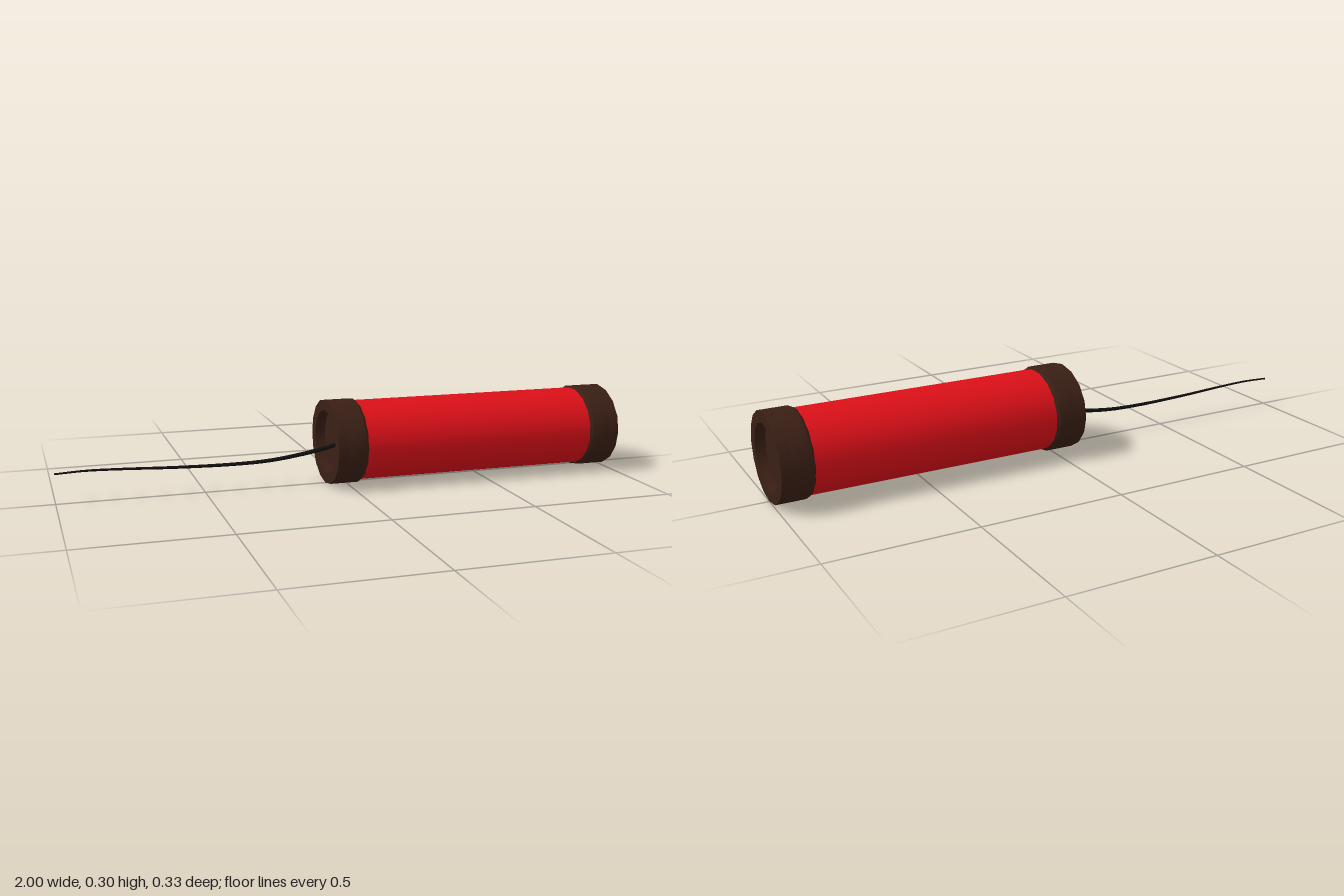
import * as THREE from 'three';
import { toCreasedNormals } from 'three/addons/utils/BufferGeometryUtils.js';

const RY = 0.149, RZ = 0.166; // slightly flattened round section
const CAP = 0.11, RECESS = 0.035, SIDES = 16;

const red = new THREE.MeshStandardMaterial({ color: 0xdc1018 });
const brown = new THREE.MeshStandardMaterial({ color: 0x3a1f15 });
const black = new THREE.MeshStandardMaterial({ color: 0x111111 });

function mesh(name, geometry, material) {
  const m = new THREE.Mesh(geometry, material);
  m.name = name;
  return m;
}

function polygon(radius, turn) {
  return Array.from({ length: SIDES }, (_, i) => {
    const a = ((i + turn) / SIDES) * Math.PI * 2;
    return new THREE.Vector2(radius * Math.cos(a), radius * Math.sin(a));
  });
}

// End cap: outer face at z = 0 looking along +z, body side at z = -CAP
function createCap(name) {
  const cap = new THREE.Group();
  cap.name = name;

  // Raised rim around the recess
  const ring = new THREE.Shape(polygon(1, 0));
  ring.holes.push(new THREE.Path(polygon(0.745, 0.5)));
  const rim = new THREE.ExtrudeGeometry(ring, { depth: RECESS, bevelEnabled: false });
  rim.translate(0, 0, -RECESS).scale(RZ, RY, 1);
  cap.add(mesh('capRim', toCreasedNormals(rim, 0.5), brown));

  // Collar with a chamfer towards the body and the recessed end disc
  const profile = [[0.88, -CAP], [0.95, -CAP], [1, -CAP + 0.01], [1, -RECESS], [0, -RECESS]];
  const collar = new THREE.LatheGeometry(profile.map(([r, y]) => new THREE.Vector2(r, y)), SIDES);
  collar.rotateX(Math.PI / 2).scale(RZ, RY, 1);
  cap.add(mesh('capCollar', toCreasedNormals(collar, 0.5), brown));
  return cap;
}

// Tapered fuse sagging away from the end of the tube
function createFuse() {
  const path = new THREE.CatmullRomCurve3([
    [-0.03, 0.136], [-0.07, 0.126], [-0.15, 0.111], [-0.27, 0.096], [-0.4, 0.092],
    [-0.6, 0.096], [-0.78, 0.104], [-0.9, 0.107], [-1, 0.103],
  ].map(([x, y]) => new THREE.Vector3(x, y, 0)));
  const steps = 32, sides = 8;
  const geometry = new THREE.TubeGeometry(path, steps, 0.008, sides);
  const pos = geometry.attributes.position, v = new THREE.Vector3();
  for (let i = 0; i <= steps; i++) {
    const centre = path.getPointAt(i / steps);
    for (let j = 0; j <= sides; j++) {
      const k = i * (sides + 1) + j;
      v.fromBufferAttribute(pos, k).sub(centre).multiplyScalar(1 - 0.6 * i / steps).add(centre);
      pos.setXYZ(k, v.x, v.y, v.z);
    }
  }
  return mesh('fuse', geometry, black);
}

export function createModel() {
  const model = new THREE.Group();
  model.name = 'firecracker';

  // Paper tube between the caps
  const tube = new THREE.CylinderGeometry(0.94, 0.94, 0.92, 32);
  tube.rotateZ(Math.PI / 2).scale(1, RY, RZ);
  const body = mesh('body', tube, red);
  body.position.set(0.465, RY, 0);
  model.add(body);

  // Matching caps facing outwards
  for (const [name, x, side] of [['frontCap', 1, 1], ['fuseCap', -0.07, -1]]) {
    const cap = createCap(name);
    cap.position.set(x, RY, 0);
    cap.rotation.y = side * Math.PI / 2;
    model.add(cap);
  }

  model.add(createFuse());
  return model;
}
